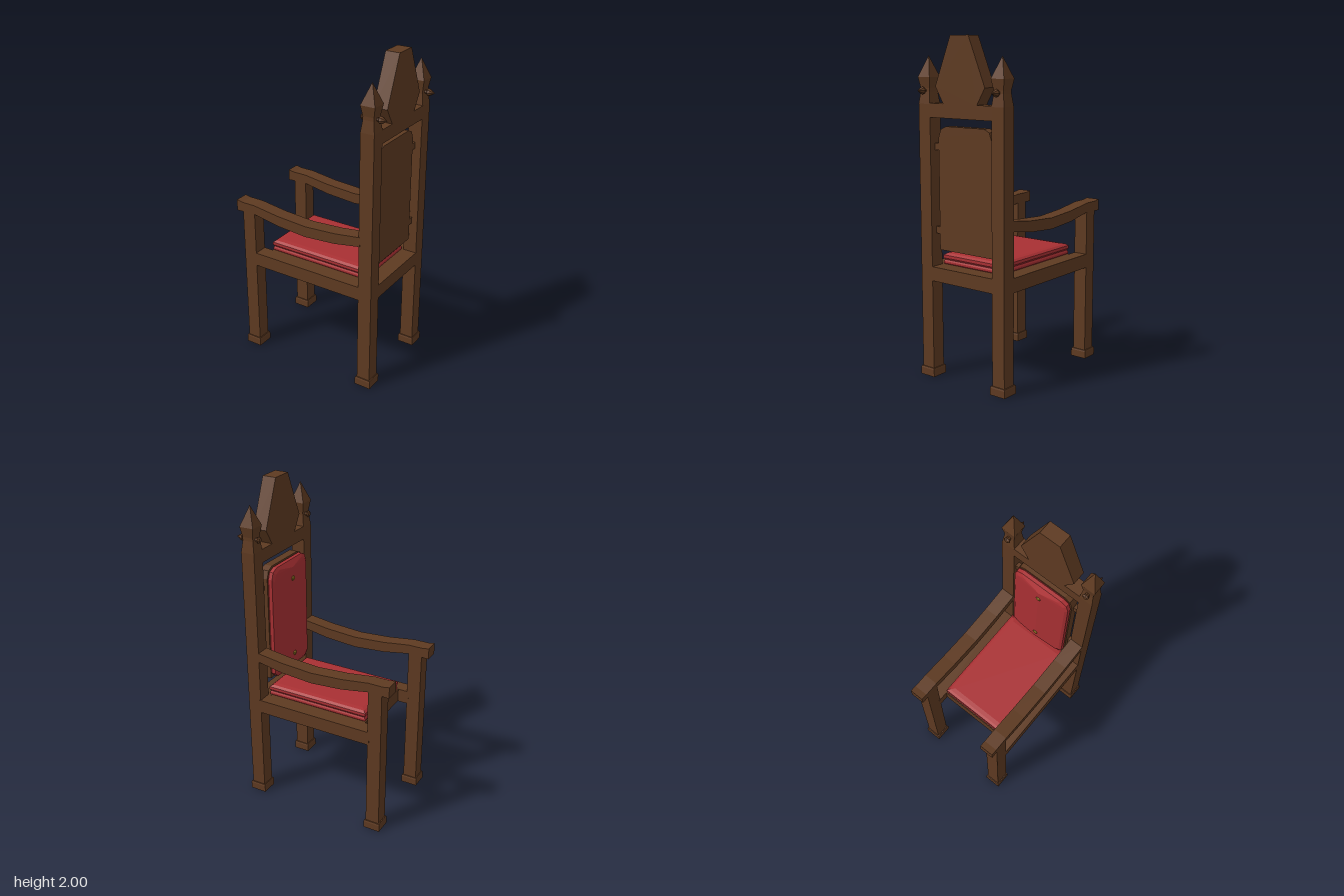
import * as THREE from 'three';
import { ConvexGeometry } from 'three/addons/geometries/ConvexGeometry.js';

const paint = (color) => new THREE.MeshStandardMaterial({ color, flatShading: true });
const wood = paint(0x5e3a21), cloth = paint(0xa93033), brass = paint(0x8a6a20);
const V = (x, y, z) => new THREE.Vector3(x, y, z);

export function createModel() {
  const chair = new THREE.Group();
  chair.name = 'chair';

  const add = (name, geometry, material, x = 0, y = 0, z = 0) => {
    const mesh = new THREE.Mesh(geometry, material);
    mesh.name = name;
    mesh.position.set(x, y, z);
    chair.add(mesh);
    return mesh;
  };
  // Box given by its limits on each axis
  const box = (name, x0, x1, y0, y1, z0, z1) =>
    add(name, new THREE.BoxGeometry(x1 - x0, y1 - y0, z1 - z0), wood,
      (x0 + x1) / 2, (y0 + y1) / 2, (z0 + z1) / 2);
  // Turned form from [radius, height] pairs
  const lathe = (profile, sides, scale = 1, start = 0) => new THREE.LatheGeometry(
    profile.map(([r, y]) => new THREE.Vector2(r * scale, y)), sides, start);
  // Square post from [half width, height] pairs
  const square = (profile) => lathe(profile, 4, Math.SQRT2, Math.PI / 4);
  // Board cut from a [z, y] outline, running from x0 to x1
  const boardZY = (name, outline, x0, x1) => {
    const shape = new THREE.Shape(outline.map(([z, y]) => new THREE.Vector2(-z, y)));
    const geometry = new THREE.ExtrudeGeometry(shape, { depth: x1 - x0, bevelEnabled: false });
    return add(name, geometry.rotateY(Math.PI / 2), wood, x0);
  };
  // Outline mirrored across z = 0
  const mirrored = (half) => [...half, ...half.map(([z, y]) => [-z, y]).reverse()];

  const foot = [[0, 0], [0.052, 0], [0.052, 0.042], [0.049, 0.052], [0.043, 0.052]];
  const legZ = 0.2675, backX = 0.405;

  for (const s of [1, -1]) {
    const side = s > 0 ? 'left' : 'right';
    const z0 = s * legZ - 0.0435, z1 = s * legZ + 0.0435;

    // Legs, the back pair rising into pointed finials
    add(side + 'FrontLeg', square([...foot, [0.043, 0.945], [0, 0.945]]), wood, -0.412, 0, s * legZ);
    add(side + 'BackPost', square([...foot, [0.043, 1.62], [0.034, 1.69], [0.034, 1.71],
      [0.045, 1.77], [0, 1.89]]), wood, backX, 0, s * legZ);

    // Spike pushed through each finial neck
    const spike = lathe([[0, 0.34], [0.013, 0.343], [0.02, 0.352], [0.013, 0.364], [0.011, 0.45],
      [0.022, 0.458], [0.02, 0.468], [0, 0.5]], 8);
    add(side + 'Spike', spike.rotateZ(-Math.PI / 2), wood, 0, 1.695, s * legZ);

    // Side rail
    box(side + 'SeatRail', -0.38, 0.37, 0.59, 0.675, z0, z1);

    // Sagging armrest
    const arm = new THREE.Shape([[-0.5, 0.935], [-0.37, 0.94], [-0.2, 0.91], [0, 0.895], [0.2, 0.91],
      [0.37, 0.94], [0.37, 0.998], [0.2, 0.975], [0, 0.962], [-0.2, 0.975], [-0.37, 0.998],
      [-0.46, 0.998], [-0.5, 1.005]].map(([x, y]) => new THREE.Vector2(x, y)));
    add(side + 'Armrest', new THREE.ExtrudeGeometry(arm, { depth: z1 - z0, bevelEnabled: false }),
      wood, 0, 0, z0);

    // Pegs holding the back panel
    for (const y of [1.377, 0.89])
      box(side + 'PanelPeg', 0.38, 0.41, y - 0.02, y + 0.02, s * 0.21 - 0.025, s * 0.21 + 0.025);
  }

  // Seat board and cross rails
  box('seatBoard', -0.31, 0.37, 0.59, 0.675, -0.226, 0.226);
  box('lowerBackRail', 0.362, 0.448, 0.59, 0.675, -0.226, 0.226);
  box('upperBackRail', 0.362, 0.448, 1.545, 1.625, -0.226, 0.226);

  // Crest and back panel
  boardZY('crest', mirrored([[0.12, 1.62], [0.18, 1.72], [0.065, 2]]), 0.362, 0.448);
  boardZY('backPanel', mirrored([[0.195, 0.775], [0.195, 1.43], [0.178, 1.477], [0.14, 1.495]]), 0.358, 0.41);

  // Seat cushion: two stacked soft slabs, each hulled from rectangular rings [inset, y]
  const slabs = [
    [[0.01, 0.67], [0.002, 0.68], [0.002, 0.692], [0.008, 0.704]],
    [[0.008, 0.7], [0, 0.712], [0, 0.73], [0.015, 0.741], [0.04, 0.745]],
  ];
  for (const rings of slabs) {
    const points = rings.flatMap(([d, y]) => [
      V(-0.307 + d, y, -0.22 + d), V(0.355 - d, y, -0.22 + d),
      V(-0.307 + d, y, 0.22 - d), V(0.355 - d, y, 0.22 - d)]);
    add('seatCushion', new ConvexGeometry(points), cloth);
  }

  // Back cushion: inset rings coming forward to a shallow central ridge
  const backPoints = [[0.36, 0.008], [0.35, 0], [0.328, 0.002], [0.318, 0.018]].flatMap(([x, d]) =>
    mirrored([[0.16 - d, 0.78 + d], [0.192 - d, 0.81 + d], [0.192 - d, 1.43 - d],
      [0.178 - d, 1.472 - d], [0.14 - d, 1.49 - d]]).map(([z, y]) => V(x, y, z)));
  backPoints.push(V(0.303, 0.82, 0), V(0.303, 1.45, 0));
  add('backCushion', new ConvexGeometry(backPoints), cloth);

  // Brass studs
  for (const y of [1.38, 0.88])
    add('stud', new THREE.SphereGeometry(0.016, 8, 6).scale(0.5, 1, 1), brass, 0.303, y, 0);

  return chair;
}
